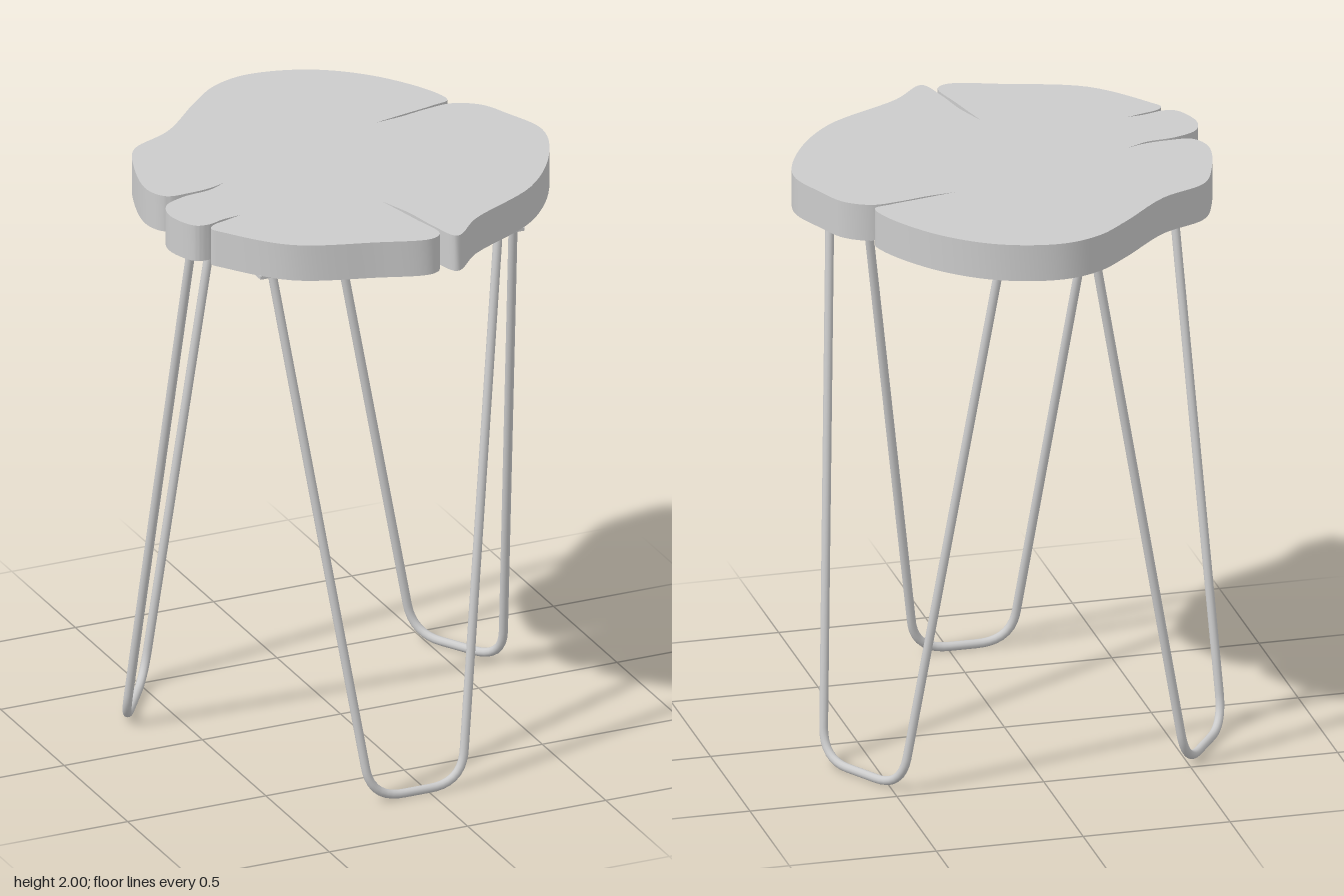
import * as THREE from 'three';
import { toCreasedNormals } from 'three/addons/utils/BufferGeometryUtils.js';

const material = new THREE.MeshStandardMaterial({ color: 0xcccccc });
const TOP = 2, UNDER = 1.873, ROD = 0.015;

// Live-edge outline as [x, z] runs, each going from one crack tip to the next
const edgeRuns = [
  [[.223, -.211], [.32, -.222], [.42, -.243], [.517, -.25], [.6, -.2], [.65, -.098], [.7, .06],
    [.638, .254], [.474, .47], [.2, .63], [.086, .732], [.047, .626], [.02, .5]],
  [[-.023, .376], [.016, .548], [.042, .69], [0, .72], [-.18, .67], [-.438, .575], [-.6, .39],
    [-.626, .344], [-.603, .317], [-.556, .302]],
  [[-.493, .282], [-.556, .29], [-.622, .309], [-.665, .297], [-.705, .19], [-.68, .11], [-.6, .07], [-.5, .055]],
  [[-.427, .02], [-.485, .041], [-.564, .05], [-.65, .043], [-.685, -.03], [-.642, -.235], [-.583, -.352],
    [-.427, -.434], [-.25, -.607], [-.133, -.704], [0, -.743], [.2, -.697], [.37, -.567], [.5, -.364],
    [.515, -.28], [.46, -.262], [.32, -.232]],
];

function createSlab() {
  const outline = edgeRuns.flatMap((run, i) => {
    const nextTip = edgeRuns[(i + 1) % edgeRuns.length][0];
    const knots = [...run, nextTip].map(([x, z]) => new THREE.Vector3(x, -z, 0));
    const curve = new THREE.CatmullRomCurve3(knots, false, 'centripetal');
    // The last point is left out because the next run starts there
    return curve.getPoints(run.length * 7).slice(0, -1).map((p) => new THREE.Vector2(p.x, p.y));
  });
  const geometry = new THREE.ExtrudeGeometry(new THREE.Shape(outline), { depth: TOP - UNDER, bevelEnabled: false });
  geometry.rotateX(-Math.PI / 2).translate(0, UNDER, 0);
  const slab = new THREE.Mesh(toCreasedNormals(geometry, 0.8), material);
  slab.name = 'tabletop';
  return slab;
}

// Hairpin leg: two rods (tops a, d; floor corners b, c as [x, z]) joined by rounded bends
function createLeg(name, a, b, c, d) {
  const leg = new THREE.Group();
  leg.name = name;
  const [A, B, C, D] = [[a, UNDER], [b, ROD], [c, ROD], [d, UNDER]].map(([p, y]) => new THREE.Vector3(p[0], y, p[1]));
  const toward = (from, to, distance) => from.clone().add(to.clone().sub(from).setLength(distance));
  const b1 = toward(B, A, 0.11), b2 = toward(B, C, 0.115), c1 = toward(C, B, 0.115), c2 = toward(C, D, 0.11);

  const path = new THREE.CurvePath();
  path.add(new THREE.LineCurve3(A, b1));
  path.add(new THREE.QuadraticBezierCurve3(b1, B, b2));
  path.add(new THREE.LineCurve3(b2, c1));
  path.add(new THREE.QuadraticBezierCurve3(c1, C, c2));
  path.add(new THREE.LineCurve3(c2, D));
  const rod = new THREE.Mesh(new THREE.TubeGeometry(path, 180, ROD, 12), material);
  rod.name = 'hairpinRod';
  leg.add(rod);

  // Mounting plates with a smaller weld pad, lined up with the leg
  const along = D.clone().sub(A).normalize();
  const outward = A.clone().add(D).setY(0).normalize();
  for (const [end, sign] of [[A, -1], [D, 1]]) {
    const mount = new THREE.Group();
    mount.name = 'mountingPlate';
    const plate = new THREE.Mesh(new THREE.BoxGeometry(0.1, 0.012, 0.1), material);
    plate.name = 'plate';
    const pad = new THREE.Mesh(new THREE.BoxGeometry(0.055, 0.008, 0.055), material);
    pad.name = 'weldPad';
    pad.position.y = -0.008;
    mount.add(plate, pad);
    mount.position.copy(end).addScaledVector(along, sign * 0.015).addScaledVector(outward, 0.015);
    mount.position.y = UNDER - 0.005;
    mount.rotation.y = Math.atan2(-along.z, along.x);
    leg.add(mount);
  }
  return leg;
}

export function createModel() {
  const table = new THREE.Group();
  table.name = 'sideTable';
  table.add(
    createSlab(),
    createLeg('frontLeg', [-.455, .44], [-.21, .7], [.118, .7], [.37, .44]),
    createLeg('leftLeg', [.545, .18], [.658, -.155], [.475, -.465], [.155, -.53]),
    createLeg('rightLeg', [-.6, .14], [-.687, -.205], [-.485, -.5], [-.16, -.55]),
  );
  return table;
}
